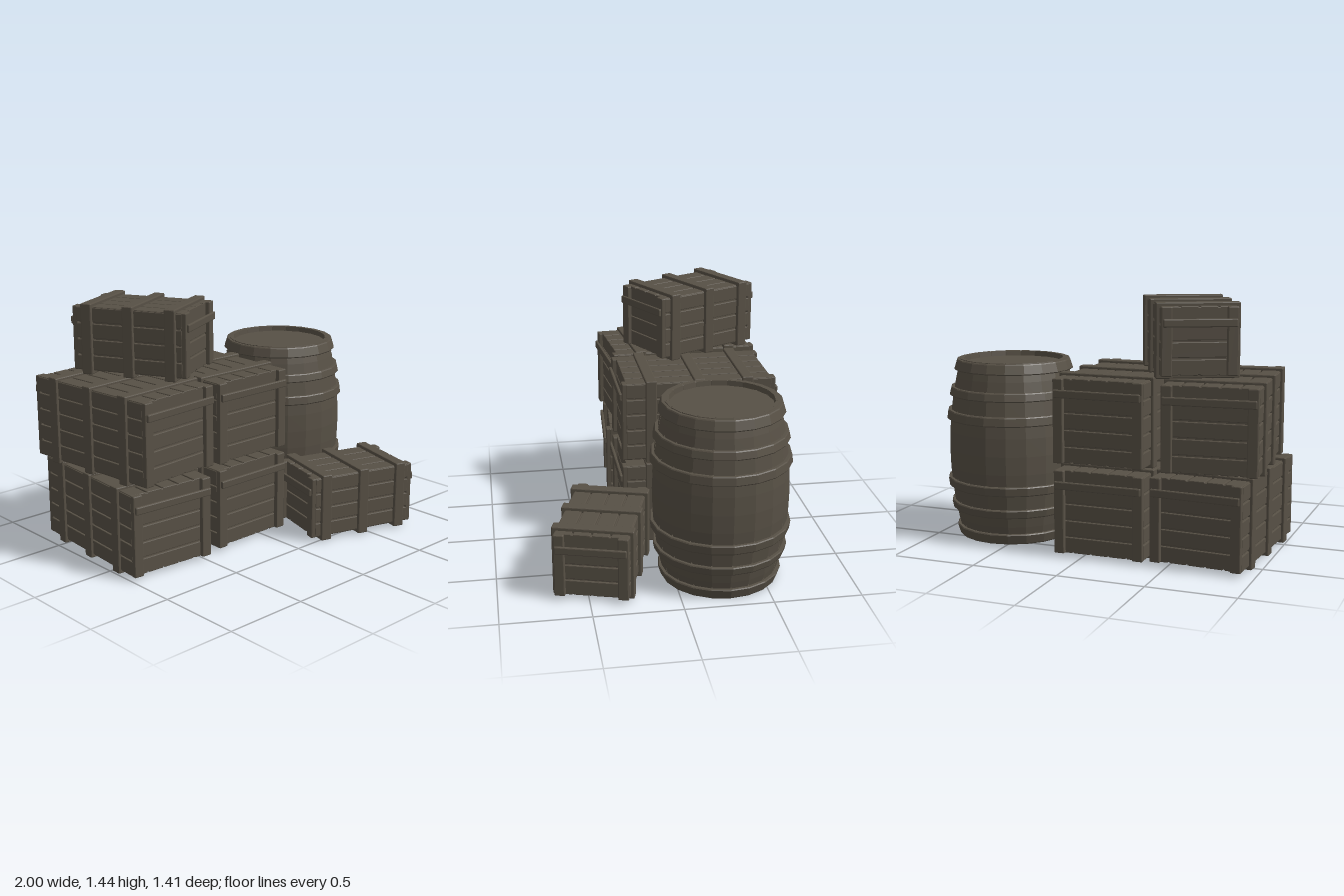
import * as THREE from 'three';
import { RoundedBoxGeometry } from 'three/addons/geometries/RoundedBoxGeometry.js';

const wood = new THREE.MeshStandardMaterial({ color: 0x575045, flatShading: true });
wood.name = 'darkWood';

function add(parent, name, geometry, x = 0, y = 0, z = 0) {
  const mesh = new THREE.Mesh(geometry, wood);
  mesh.name = name;
  mesh.position.set(x, y, z);
  parent.add(mesh);
  return mesh;
}

// Plank with chamfered edges
function plank(parent, name, w, h, d, x, y, z, bevel = 0.006) {
  return add(parent, name, new RoundedBoxGeometry(w, h, d, 1, bevel), x, y, z);
}

// Crate with its length along z; w, h, d are the slatted body without bands and handles
function crate(name, { w, h, d, slats, spacing, handleY, band }) {
  const g = new THREE.Group();
  g.name = name;
  const gap = 0.01, t = 0.02;
  add(g, 'core', new THREE.BoxGeometry(w - 0.024, h - 0.024, d - 0.024));

  // Slats on all six faces
  const sh = h / slats, sw = w / slats;
  for (let i = 0; i < slats; i++) {
    const y = -h / 2 + sh * (i + 0.5);
    const x = -w / 2 + sw * (i + 0.5);
    for (const s of [-1, 1]) {
      plank(g, 'sideSlat', t, sh - gap, d, s * (w / 2 - t / 2), y, 0, 0.004);
      plank(g, 'endSlat', w - 0.01, sh - gap, t, 0, y, s * (d / 2 - t / 2), 0.004);
      plank(g, 'lidSlat', sw - gap, t, d, x, s * (h / 2 - t / 2), 0, 0.004);
    }
  }

  // Three bands wrapped around the body
  for (const z of [-spacing, 0, spacing]) {
    for (const s of [-1, 1]) {
      plank(g, 'bandAcross', w + band * 2, band + 0.012, 0.065, 0, s * (h / 2 + band / 2 - 0.006), z);
      plank(g, 'bandUpright', band + 0.012, h + band, 0.065, s * (w / 2 + band / 2 - 0.006), 0, z);
    }
  }

  // Corner posts and handle on each end
  for (const s of [-1, 1]) {
    for (const e of [-1, 1]) {
      plank(g, 'cornerPost', 0.06, h, 0.032, e * (w / 2 - 0.032), 0, s * (d / 2 + 0.009));
    }
    plank(g, 'handle', w - 0.02, 0.045, 0.018, 0, handleY, s * (d / 2 + 0.032));
  }
  return g;
}

const BIG = { w: 0.53, h: 0.475, d: 0.86, slats: 5, spacing: 0.285, handleY: 0.155, band: 0.016 };
const SMALL = { w: 0.42, h: 0.37, d: 0.645, slats: 4, spacing: 0.255, handleY: 0.1, band: 0.019 };

// Barrel outline: radius at a given height
const HEIGHT = 1.06, MID = HEIGHT / 2, SIDES = 20;
const radius = (y) => 0.388 - 0.072 * ((y - MID) / MID) ** 2;

function barrel() {
  const g = new THREE.Group();
  g.name = 'barrel';
  const v = (x, y) => new THREE.Vector2(x, y);

  // Inner wall with recessed lid and base
  const levels = Array.from({ length: 11 }, (_, i) => (i / 10) * HEIGHT);
  const core = [v(0, 0.03), v(0.295, 0.03), v(0.295, 0)];
  levels.forEach((y) => core.push(v(radius(y) - 0.012, y)));
  core.push(v(0.295, HEIGHT - 0.005), v(0.295, HEIGHT - 0.03), v(0, HEIGHT - 0.03));
  add(g, 'lidAndLining', new THREE.LatheGeometry(core, SIDES));

  // Staves with narrow gaps
  const stave = [v(0.29, 0.03), v(0.293, 0)];
  levels.forEach((y) => stave.push(v(radius(y), y)));
  stave.push(v(0.293, HEIGHT), v(0.29, HEIGHT - 0.03));
  const step = (Math.PI * 2) / SIDES;
  for (let i = 0; i < SIDES; i++) {
    add(g, 'stave', new THREE.LatheGeometry(stave, 1, (i + 0.03) * step, step * 0.94));
  }

  // Hoops, mirrored about the middle
  for (const [low, high] of [[0.004, 0.065], [0.165, 0.215], [0.3, 0.355]]) {
    for (const [a, b] of [[low, high], [HEIGHT - high, HEIGHT - low]]) {
      const ra = radius(a), rb = radius(b);
      add(g, 'hoop', new THREE.LatheGeometry([
        v(ra - 0.01, a), v(ra + 0.016, a), v(ra + 0.02, a + 0.006),
        v(rb + 0.02, b - 0.006), v(rb + 0.016, b), v(rb - 0.01, b),
      ], SIDES));
    }
  }
  return g;
}

export function createModel() {
  const model = new THREE.Group();
  model.name = 'cratesAndBarrel';

  // name, size, x, y, z, turn in degrees
  const crates = [
    ['lowerRightCrate', BIG, -0.695, 0.258, -0.22, -4],
    ['lowerMiddleCrate', BIG, -0.108, 0.258, -0.23, 0],
    ['upperRightCrate', BIG, -0.7, 0.773, -0.225, 5],
    ['upperMiddleCrate', BIG, -0.105, 0.773, -0.23, 0],
    ['topCrate', SMALL, -0.5, 1.235, -0.275, 27],
    ['frontCrate', SMALL, 0.515, 0.21, 0.39, 73],
  ];
  for (const [name, size, x, y, z, turn] of crates) {
    const c = crate(name, size);
    c.position.set(x, y, z);
    c.rotation.y = THREE.MathUtils.degToRad(turn);
    model.add(c);
  }

  const b = barrel();
  b.position.set(0.595, 0, -0.27);
  model.add(b);
  return model;
}
